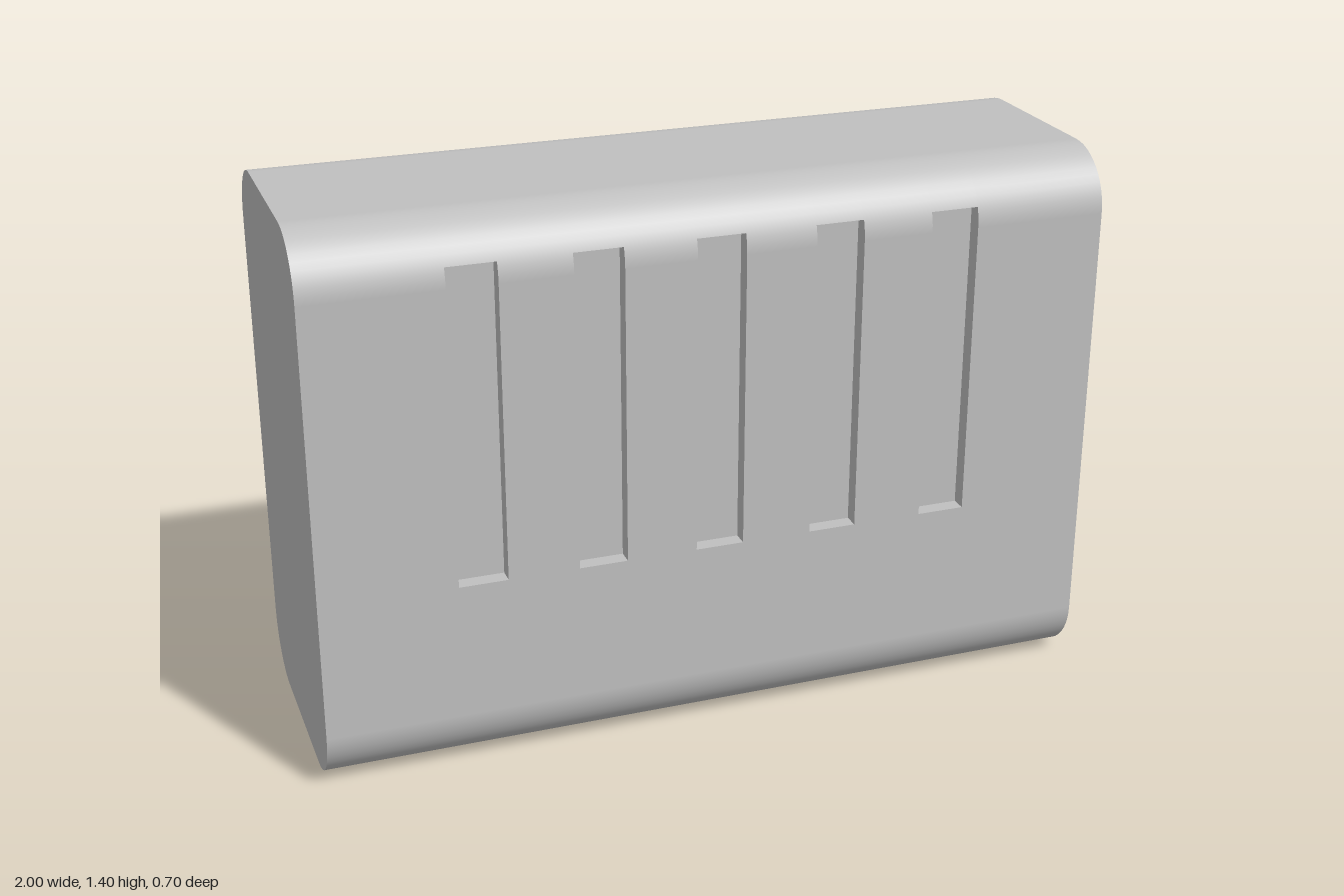
import * as THREE from 'three';

const W = 1, D = 0.35, H = 1.4, R = 0.15;          // half width, half depth, height, corner radius
const SLOT = { half: 0.061, y0: 0.5, y1: 1.3, floor: 0.31, xs: [-0.6, -0.3, 0, 0.3, 0.6] };

// Cross-section loop in (z, y) with outward normals, split at the slot edges
function section() {
  const pts = [];
  const lip = Math.asin((SLOT.y1 - (H - R)) / R);
  const arc = (cz, cy, start, extra) => {
    const angles = extra === undefined ? [] : [extra];
    for (let i = 0; i <= 12; i++) angles.push(start + (i / 12) * Math.PI / 2);
    angles.sort((a, b) => a - b);
    for (const a of angles) {
      const nz = Math.cos(a), ny = Math.sin(a);
      pts.push({ z: cz + R * nz, y: cy + R * ny, nz, ny });
    }
  };
  pts.push({ z: D, y: SLOT.y0, nz: 1, ny: 0 });
  arc(D - R, H - R, 0, lip);
  arc(R - D, H - R, Math.PI / 2, Math.PI - lip);
  pts.push({ z: -D, y: SLOT.y0, nz: -1, ny: 0 });
  arc(R - D, R, Math.PI);
  arc(D - R, R, Math.PI * 1.5);
  pts.push(pts[0]);
  return pts;
}

// Collects quads (corners counter-clockwise from outside) into one geometry
function quadBuilder() {
  const pos = [], nor = [];
  return {
    quad(corners, normals) {
      for (const i of [0, 1, 2, 0, 2, 3]) {
        pos.push(...corners[i]);
        nor.push(...(normals.length === 4 ? normals[i] : normals[0]));
      }
    },
    build() {
      const g = new THREE.BufferGeometry();
      g.setAttribute('position', new THREE.Float32BufferAttribute(pos, 3));
      g.setAttribute('normal', new THREE.Float32BufferAttribute(nor, 3));
      return g;
    },
  };
}

const inSlotHeight = (a, b) => {
  const y = (a.y + b.y) / 2;
  return y > SLOT.y0 && y < SLOT.y1 && Math.abs(a.z + b.z) / 2 > SLOT.floor;
};

// Rounded skin swept along x, left open where the slots are
function skinGeometry(pts) {
  const q = quadBuilder();
  const cuts = [-W, ...SLOT.xs.flatMap((x) => [x - SLOT.half, x + SLOT.half]), W];
  for (let s = 0; s < cuts.length - 1; s++) {
    const x0 = cuts[s], x1 = cuts[s + 1];
    for (let i = 0; i < pts.length - 1; i++) {
      const a = pts[i], b = pts[i + 1];
      if (s % 2 === 1 && inSlotHeight(a, b)) continue;
      const na = [0, a.ny, a.nz], nb = [0, b.ny, b.nz];
      q.quad([[x0, a.y, a.z], [x1, a.y, a.z], [x1, b.y, b.z], [x0, b.y, b.z]], [na, na, nb, nb]);
    }
  }
  return q.build();
}

// Floor and four walls of one recessed slot on the front
function slotGeometry(pts) {
  const q = quadBuilder();
  const { half: w, y0, y1, floor: f } = SLOT;
  const lipZ = D - R + Math.sqrt(R * R - (y1 - H + R) ** 2);
  q.quad([[-w, y0, f], [w, y0, f], [w, y1, f], [-w, y1, f]], [[0, 0, 1]]);
  q.quad([[-w, y0, D], [w, y0, D], [w, y0, f], [-w, y0, f]], [[0, 1, 0]]);
  q.quad([[-w, y1, f], [w, y1, f], [w, y1, lipZ], [-w, y1, lipZ]], [[0, -1, 0]]);
  for (let i = 0; i < pts.length - 1; i++) {
    const a = pts[i], b = pts[i + 1];
    if (a.z < 0 || !inSlotHeight(a, b)) continue;
    q.quad([[-w, a.y, a.z], [-w, a.y, f], [-w, b.y, f], [-w, b.y, b.z]], [[1, 0, 0]]);
    q.quad([[w, a.y, f], [w, a.y, a.z], [w, b.y, b.z], [w, b.y, f]], [[-1, 0, 0]]);
  }
  return q.build();
}

export function createModel() {
  const group = new THREE.Group();
  const grey = new THREE.MeshStandardMaterial({ color: 0xc0c0c0 });
  grey.name = 'grey';
  const add = (name, geometry) => {
    const mesh = new THREE.Mesh(geometry, grey);
    mesh.name = name;
    group.add(mesh);
    return mesh;
  };
  const pts = section();

  add('roundedBody', skinGeometry(pts));

  // Flat ends
  const cap = new THREE.ShapeGeometry(new THREE.Shape(pts.slice(0, -1).map((p) => new THREE.Vector2(p.z, p.y))));
  for (const side of [1, -1]) {
    const end = add(side > 0 ? 'leftEnd' : 'rightEnd', cap);
    end.position.x = side * W;
    end.rotation.y = side * Math.PI / 2;
  }

  // Slots on the front and, turned round, on the back
  const slot = slotGeometry(pts);
  for (const x of SLOT.xs) {
    add('frontSlot', slot).position.x = x;
    const back = add('backSlot', slot);
    back.position.x = x;
    back.rotation.y = Math.PI;
  }
  return group;
}
